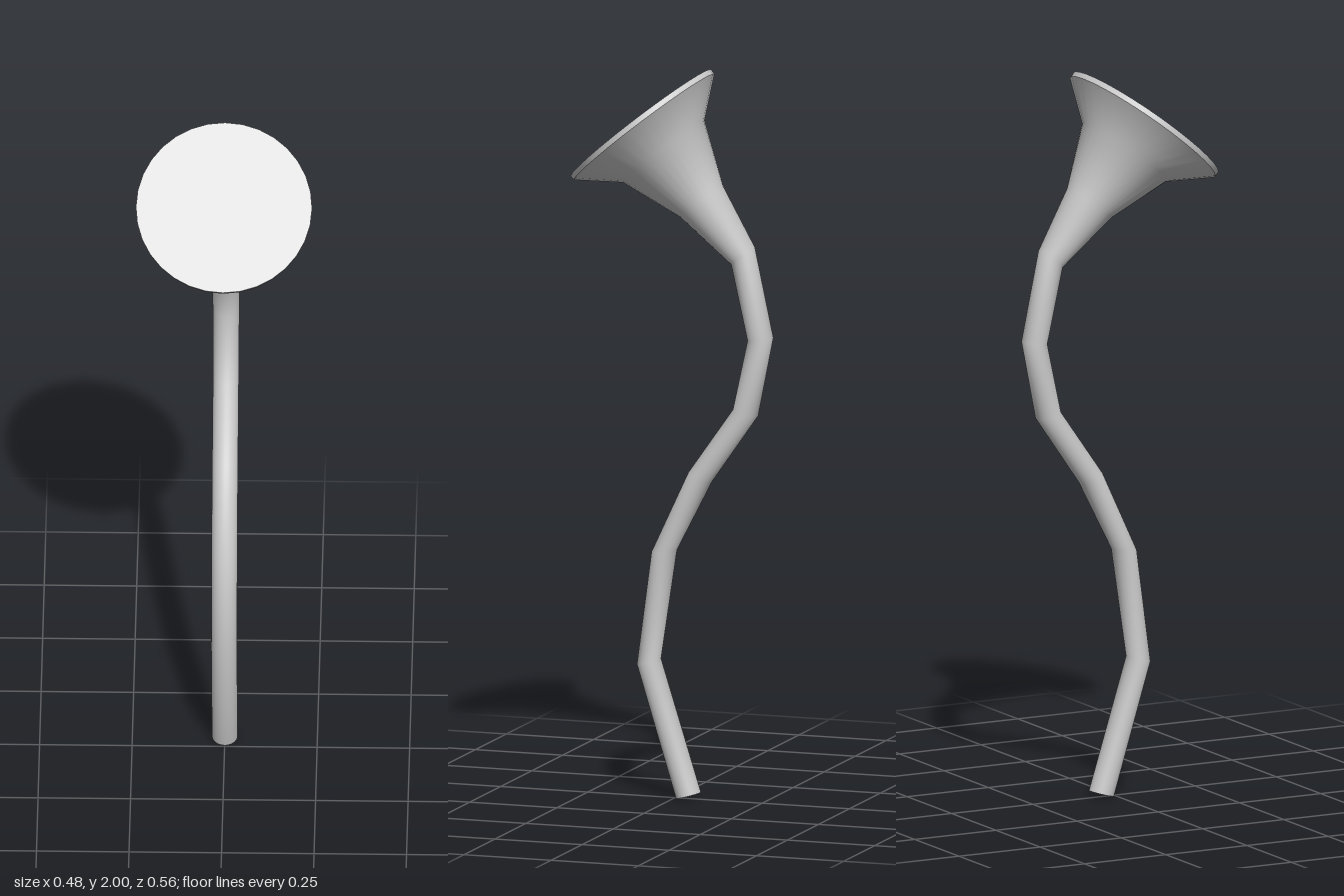
import * as THREE from 'three';

const SIDES = 32;

// Cross-sections along the horn: [front z, front y, back z, back y, half width]
const SECTIONS = [
  [-0.005, 0.0, -0.072, 0.018, 0.035],
  [0.107, 0.362, 0.042, 0.378, 0.035],
  [0.065, 0.674, -0.004, 0.68, 0.035],
  [-0.04, 0.897, -0.104, 0.872, 0.035],
  [-0.168, 1.078, -0.237, 1.062, 0.035],
  [-0.21, 1.27, -0.28, 1.278, 0.036],
  [-0.164, 1.475, -0.226, 1.525, 0.04],
  [-0.021, 1.597, -0.133, 1.687, 0.072],
  [0.138, 1.684, -0.074, 1.862, 0.139],
  [0.271, 1.685, -0.095, 1.988, 0.237],
  [0.281, 1.695, -0.085, 2.0, 0.238],
];

function ring([fz, fy, bz, by, r]) {
  return Array.from({ length: SIDES }, (_, j) => {
    const t = (j / SIDES) * Math.PI * 2, s = Math.sin(t);
    return [
      r * Math.cos(t),
      (fy + by) / 2 + ((fy - by) / 2) * s,
      (fz + bz) / 2 + ((fz - bz) / 2) * s,
    ];
  });
}

function build(points, index) {
  const geo = new THREE.BufferGeometry();
  geo.setAttribute('position', new THREE.Float32BufferAttribute(points.flat(), 3));
  geo.setIndex(index);
  geo.computeVertexNormals();
  return geo;
}

// Smooth skin through a run of sections
function loft(sections) {
  const index = [];
  for (let i = 0; i < sections.length - 1; i++) {
    for (let j = 0; j < SIDES; j++) {
      const k = (j + 1) % SIDES;
      const a = i * SIDES + j, b = i * SIDES + k;
      index.push(a, a + SIDES, b, b, a + SIDES, b + SIDES);
    }
  }
  return build(sections.flatMap(ring), index);
}

// Flat disc closing one section
function cap(section, up) {
  const index = [];
  for (let j = 1; j < SIDES - 1; j++) index.push(0, ...(up ? [j + 1, j] : [j, j + 1]));
  return build(ring(section), index);
}

export function createModel() {
  const group = new THREE.Group();
  group.name = 'horn';
  const grey = new THREE.MeshStandardMaterial({ color: 0xcccccc });
  grey.name = 'light grey';

  const add = (name, geo) => {
    const mesh = new THREE.Mesh(geo, grey);
    mesh.name = name;
    group.add(mesh);
  };

  add('curvedTubeAndBell', loft(SECTIONS.slice(0, -1)));
  add('bellRim', loft(SECTIONS.slice(-2)));
  add('bellFace', cap(SECTIONS.at(-1), true));
  add('tubeEnd', cap(SECTIONS[0], false));
  return group;
}
